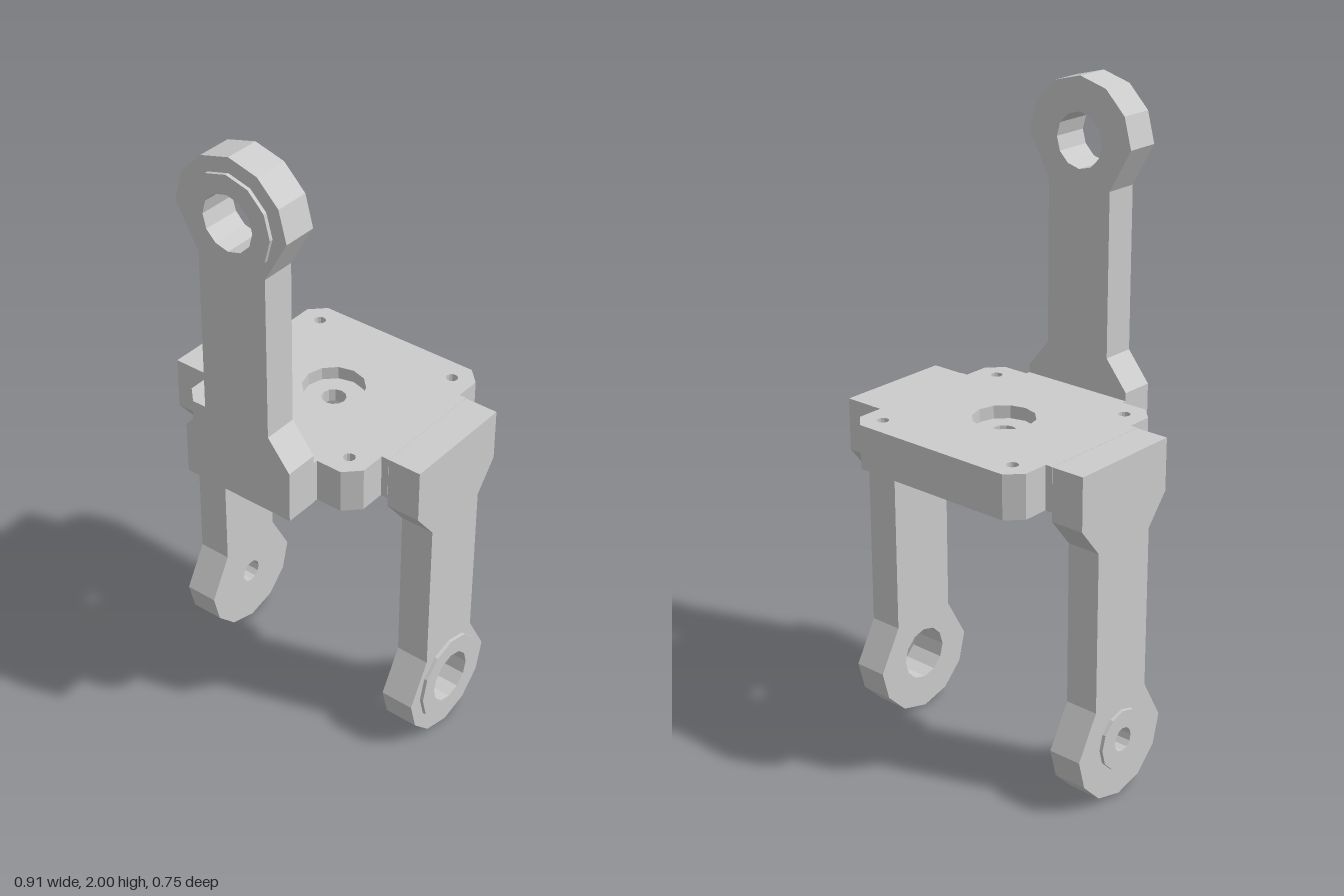
import * as THREE from 'three';

const material = new THREE.MeshStandardMaterial({ color: 0xcccccc, flatShading: true });
const CENTER_Z = -0.065;

// Points of a regular polygon, between two angles in degrees
function arc(r, cx = 0, cy = 0, sides = 12, from = 0, to = 360) {
  const points = [];
  const step = 360 / sides;
  for (let a = from; a < to - 0.01; a += step) {
    const t = THREE.MathUtils.degToRad(a);
    points.push([cx + r * Math.cos(t), cy + r * Math.sin(t)]);
  }
  return points;
}

const vectors = (points) => points.map(([x, y]) => new THREE.Vector2(x, y));

// Flat part cut from an outline with holes
function slab(outline, holes, depth) {
  const shape = new THREE.Shape(vectors(outline));
  for (const hole of holes) shape.holes.push(new THREE.Path(vectors(hole)));
  return new THREE.ExtrudeGeometry(shape, { depth, bevelEnabled: false });
}

// Arm with its eye at the origin, hanging down -y, raised boss facing +z
function makeArm(name, holeRadius, bossRadius) {
  const arm = new THREE.Group();
  arm.name = name;
  const half = [[0.112, -0.13], [0.112, -0.63], [0.185, -0.72], [0.185, -0.882]];
  const outline = [
    ...arc(0.185, 0, 0, 12, 0, 210),
    ...half.map(([x, y]) => [-x, y]),
    ...half.slice().reverse(),
  ].filter(([, y], i) => !(i > 6 && y > -0.1));
  const thickness = 0.106;
  const hole = arc(holeRadius);
  const body = new THREE.Mesh(slab(outline, [hole], thickness), material);
  body.name = name + 'Body';
  const boss = new THREE.Mesh(slab(arc(bossRadius), [hole], 0.011), material);
  boss.name = name + 'Boss';
  boss.position.z = thickness;
  arm.add(body, boss);
  return arm;
}

// Cross-shaped plate in layers: square pocket below, web, round counterbore above
function makePlate() {
  const plate = new THREE.Group();
  plate.name = 'plate';
  const right = [
    [0.185, -0.327], [0.185, -0.312], [0.268, -0.312], [0.313, -0.267],
    [0.313, -0.186], [0.336, -0.186], [0.336, 0.186], [0.313, 0.186],
    [0.313, 0.267], [0.268, 0.312],
  ];
  const outline = [...right, ...right.slice().reverse().map(([x, y]) => [-x, y])];
  const screws = [];
  for (const x of [-0.245, 0.245]) {
    for (const y of [-0.244, 0.244]) screws.push(arc(0.018, x, y));
  }
  const s = 0.108;
  const layers = [
    ['plateBottom', [[-s, -s], [s, -s], [s, s], [-s, s]], 0.935, 0.99],
    ['plateWeb', arc(0.037), 0.99, 1.03],
    ['plateTop', arc(0.094), 1.03, 1.07],
  ];
  for (const [name, opening, y0, y1] of layers) {
    const geometry = slab(outline, [...screws, opening], y1 - y0).rotateX(-Math.PI / 2);
    const layer = new THREE.Mesh(geometry, material);
    layer.name = name;
    layer.position.set(0, y0, CENTER_Z);
    plate.add(layer);
  }
  return plate;
}

export function createModel() {
  const model = new THREE.Group();
  model.name = 'bracket';
  model.add(makePlate());

  // Upright arm at the front
  const frontArm = makeArm('frontArm', 0.083, 0.14);
  frontArm.position.set(0, 1.815, 0.261);
  model.add(frontArm);

  // Hanging arms: turned upside down, boss facing outwards
  for (const side of [1, -1]) {
    const arm = side > 0 ? makeArm('leftArm', 0.083, 0.14) : makeArm('rightArm', 0.037, 0.093);
    arm.setRotationFromMatrix(new THREE.Matrix4().makeBasis(
      new THREE.Vector3(0, 0, side),
      new THREE.Vector3(0, -1, 0),
      new THREE.Vector3(side, 0, 0),
    ));
    arm.position.set(side * 0.336, 0.187, CENTER_Z);
    model.add(arm);
  }
  return model;
}
